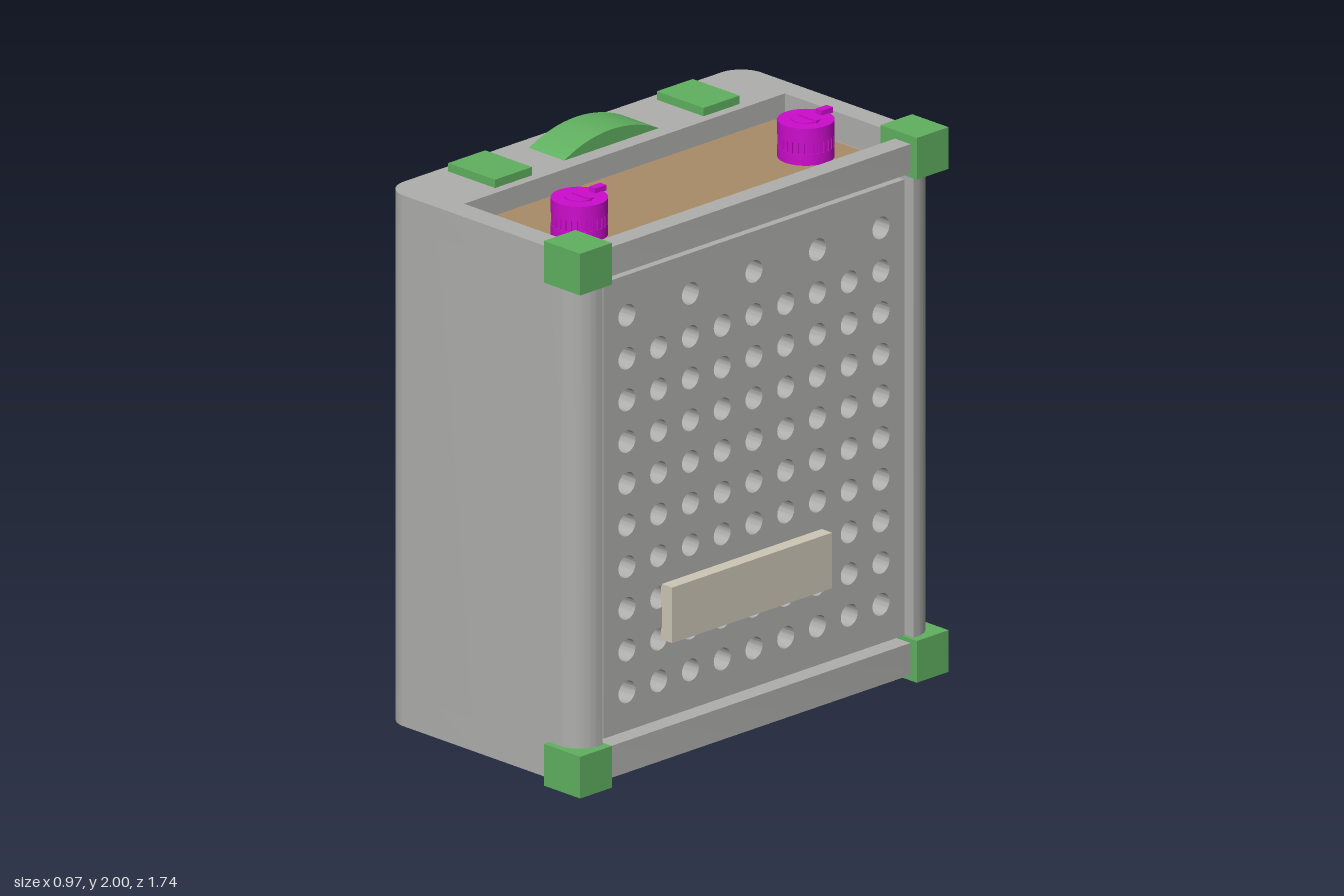
import * as THREE from 'three';
import { toCreasedNormals } from 'three/addons/utils/BufferGeometryUtils.js';

function material(name, color) {
  const m = new THREE.MeshStandardMaterial({ color });
  m.name = name;
  return m;
}

const grey = material('cabinet grey', 0xaeaeac);
const green = material('fitting green', 0x60b060);
const magenta = material('knob magenta', 0xcc0ccc);
const wood = material('panel tan', 0xa88c68);
const cream = material('badge cream', 0xcdc6b6);

export function createModel() {
  const model = new THREE.Group();
  model.name = 'speakerCabinet';

  function add(name, geometry, mat, parent = model) {
    const mesh = new THREE.Mesh(geometry, mat);
    mesh.name = name;
    parent.add(mesh);
    return mesh;
  }
  // box given by its limits on each axis
  function box(name, mat, [x0, x1], [y0, y1], [z0, z1], parent = model) {
    const g = new THREE.BoxGeometry(x1 - x0, y1 - y0, z1 - z0);
    g.translate((x0 + x1) / 2, (y0 + y1) / 2, (z0 + z1) / 2);
    return add(name, g, mat, parent);
  }
  // horizontal outline (x, -z) raised from y0 to y1
  function slab(name, shape, y0, y1, mat) {
    const g = new THREE.ExtrudeGeometry(shape, { depth: y1 - y0, bevelEnabled: false, curveSegments: 10 });
    g.rotateX(-Math.PI / 2).translate(0, y0, 0);
    return add(name, toCreasedNormals(g, 0.5), mat);
  }
  function rectPath(P, x0, x1, y0, y1) {
    const p = new P();
    p.moveTo(x0, y0);
    p.lineTo(x1, y0);
    p.lineTo(x1, y1);
    p.lineTo(x0, y1);
    p.closePath();
    return p;
  }

  // Cabinet footprint with rounded corners and an optional notch for the grille
  const X0 = -0.485, X1 = 0.455, Z = 0.845, R = 0.095, NX = 0.36, NZ = 0.735;
  function footprint(notched) {
    const s = new THREE.Shape();
    s.moveTo(X0 + R, -Z);
    s.lineTo(X1 - R, -Z);
    s.absarc(X1 - R, -Z + R, R, -Math.PI / 2, 0);
    if (notched) {
      s.lineTo(X1, -NZ);
      s.lineTo(NX, -NZ);
      s.lineTo(NX, NZ);
      s.lineTo(X1, NZ);
    }
    s.absarc(X1 - R, Z - R, R, 0, Math.PI / 2);
    s.absarc(X0 + R, Z - R, R, Math.PI / 2, Math.PI);
    s.absarc(X0 + R, -Z + R, R, Math.PI, Math.PI * 1.5);
    return s;
  }
  slab('cabinetBase', footprint(false), 0.02, 0.135, grey);
  slab('cabinetBody', footprint(true), 0.135, 1.825, grey);
  const rim = footprint(false);
  rim.holes.push(rectPath(THREE.Path, -0.19, 0.38, -0.755, 0.76));
  slab('cabinetTop', rim, 1.825, 1.93, grey);

  // Perforated grille
  const grille = rectPath(THREE.Shape, -0.71, 0.71, 0.16, 1.8);
  for (let row = 0; row < 10; row++) {
    const step = row === 9 ? 2 : 1; // the top row has every second hole
    for (let col = -4; col <= 4; col += step) {
      const hole = new THREE.Path();
      hole.absarc(col * 0.15, row === 9 ? 1.655 : 0.3 + row * 0.15, 0.04, 0, Math.PI * 2, true);
      grille.holes.push(hole);
    }
  }
  const grilleGeo = new THREE.ExtrudeGeometry(grille, { depth: 0.435 - NX, bevelEnabled: false, curveSegments: 20 });
  grilleGeo.rotateY(Math.PI / 2).translate(NX, 0, 0);
  add('grille', toCreasedNormals(grilleGeo, 0.6), grey);
  box('badge', cream, [0.43, 0.485], [0.445, 0.645], [-0.32, 0.435]);

  // Control panel with a small socket hole
  const panel = rectPath(THREE.Shape, -0.19, 0.38, -0.7, 0.71);
  const socket = new THREE.Path();
  socket.absarc(0.06, 0.635, 0.034, 0, Math.PI * 2, true);
  panel.holes.push(socket);
  slab('controlPanel', panel, 1.825, 1.85, wood);

  // Knobs: turned profile, ribbed waist, slot and pointer
  const profile = [[0, 0], [0.097, 0], [0.097, 0.04], [0.09, 0.04], [0.09, 0.08],
    [0.097, 0.08], [0.097, 0.133], [0.05, 0.133], [0.05, 0.137], [0, 0.137]]
    .map(([r, y]) => new THREE.Vector2(r, y));
  for (const z of [-0.54, 0.53]) {
    const knob = new THREE.Group();
    knob.name = 'knob';
    knob.position.set(0.135, 1.85, z);
    add('knobBody', toCreasedNormals(new THREE.LatheGeometry(profile, 40), 0.5), magenta, knob);
    for (let i = 0; i < 28; i++) {
      const a = (i / 28) * Math.PI * 2;
      const rib = add('knobRib', new THREE.BoxGeometry(0.012, 0.04, 0.012), magenta, knob);
      rib.position.set(Math.cos(a) * 0.09, 0.06, Math.sin(a) * 0.09);
      rib.rotation.y = -a;
    }
    box('knobSlot', magenta, [-0.03, 0.055], [0.13, 0.143], [-0.006, 0.006], knob);
    box('knobPointer', magenta, [-0.015, 0.015], [0.13, 0.15], [-0.113, -0.06], knob);
    model.add(knob);
  }

  // Corner protectors on the grille side
  for (const y of [0, 1.81])
    for (const s of [-1, 1])
      box('cornerProtector', green, [0.31, 0.485], [y, y + 0.15], s < 0 ? [-0.87, -0.72] : [0.72, 0.87]);

  // Arched handle between two mounting pads
  const h = 0.055, w = 0.225, arcR = (w * w + h * h) / (2 * h), half = Math.asin(w / arcR);
  const arch = new THREE.Shape();
  arch.absarc(0, h - arcR, arcR, Math.PI / 2 - half, Math.PI / 2 + half);
  arch.closePath();
  const archGeo = new THREE.ExtrudeGeometry(arch, { depth: 0.17, bevelEnabled: false, curveSegments: 24 });
  archGeo.rotateY(Math.PI / 2).translate(-0.42, 1.929, 0);
  add('handle', toCreasedNormals(archGeo, 0.4), green);
  box('handlePad', green, [-0.45, -0.225], [1.92, 1.96], [-0.58, -0.41]);
  box('handlePad', green, [-0.45, -0.225], [1.92, 1.96], [0.4, 0.575]);

  return model;
}
